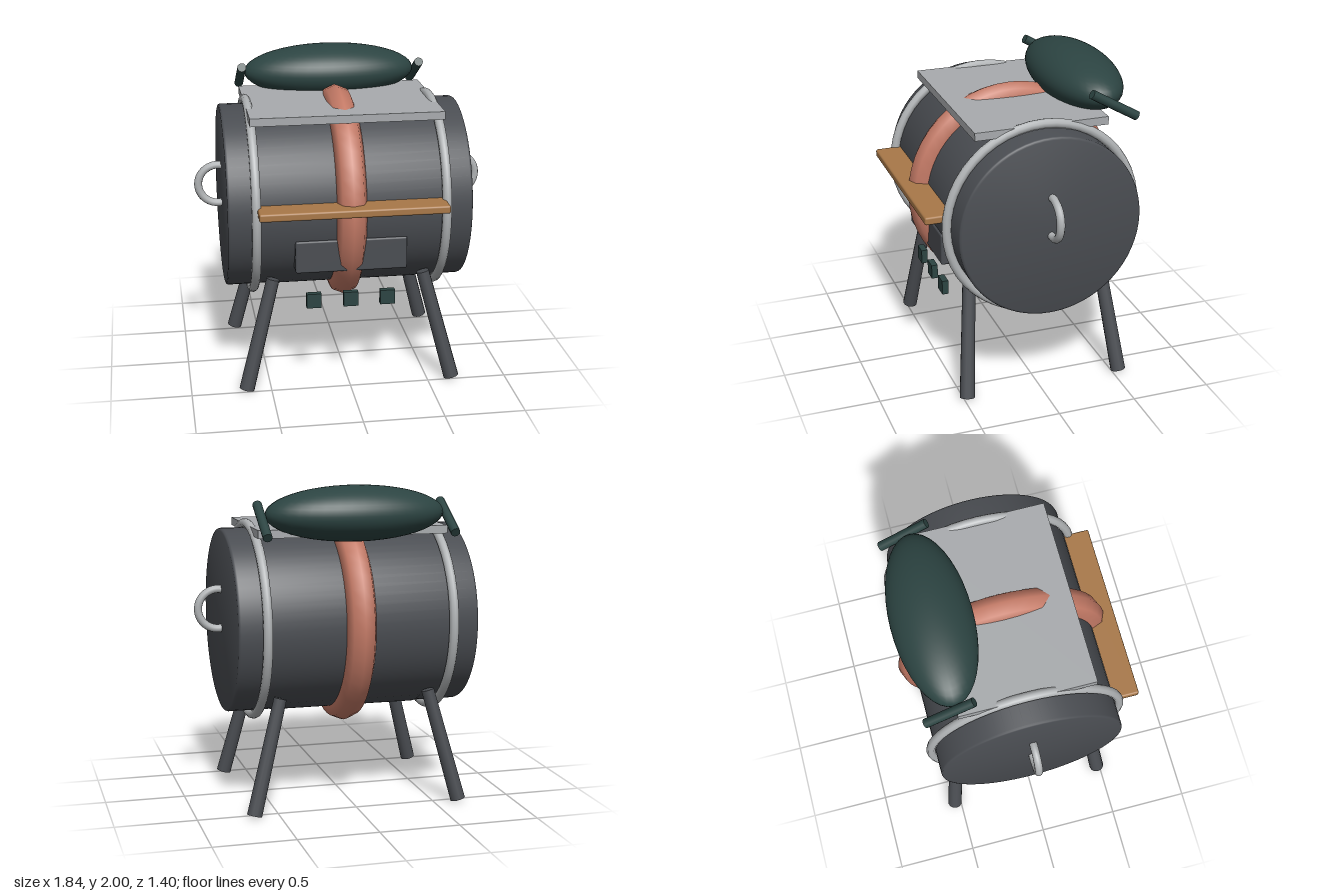
import * as THREE from 'three';
import { RoundedBoxGeometry } from 'three/addons/geometries/RoundedBoxGeometry.js';
import { toCreasedNormals } from 'three/addons/utils/BufferGeometryUtils.js';

const CY = 1.14, CZ = -0.03; // barrel axis

export function createModel() {
  const model = new THREE.Group();
  const mat = (color) => new THREE.MeshStandardMaterial({ color });
  const iron = mat(0x4a4d52), steel = mat(0xb0b3b5), plate = mat(0xa8abae);
  const copper = mat(0xc47a66), green = mat(0x2c4442), wood = mat(0xa87848);

  const add = (name, geometry, material, x = 0, y = 0, z = 0) => {
    const mesh = new THREE.Mesh(geometry, material);
    mesh.name = name;
    mesh.position.set(x, y, z);
    model.add(mesh);
    return mesh;
  };

  // round bar between two points, optionally tapered
  const bar = (name, a, b, rA, rB, material, sides = 12) => {
    const dir = b.clone().sub(a);
    const mid = a.clone().add(b).multiplyScalar(0.5);
    const mesh = add(name, new THREE.CylinderGeometry(rB, rA, dir.length(), sides), material, mid.x, mid.y, mid.z);
    mesh.quaternion.setFromUnitVectors(new THREE.Vector3(0, 1, 0), dir.normalize());
    return mesh;
  };
  const v = (x, y, z) => new THREE.Vector3(x, y, z);

  // barrel with softened rims, lying along x
  const profile = [[0, -0.75], [0.56, -0.75], [0.571, -0.746], [0.575, -0.735],
    [0.575, 0.735], [0.571, 0.746], [0.56, 0.75], [0, 0.75]].map(([r, h]) => new THREE.Vector2(r, h));
  const barrel = add('barrel', toCreasedNormals(new THREE.LatheGeometry(profile, 64), 0.9), iron, 0, CY, CZ);
  barrel.rotation.z = Math.PI / 2;

  // thin curved tray under the barrel
  const tray = new THREE.CylinderGeometry(0.579, 0.579, 0.92, 24, 1, true, -0.585, 1.17);
  tray.rotateZ(Math.PI / 2).rotateX(Math.PI / 2);
  const trayMat = iron.clone();
  trayMat.side = THREE.DoubleSide;
  add('bottomTray', tray, trayMat, 0, CY, CZ);

  // copper centre band and the two steel hoops
  const hoop = (name, x, R, r, material, sides) => {
    add(name, new THREE.TorusGeometry(R, r, sides, 48).rotateY(Math.PI / 2), material, x, CY, CZ);
  };
  hoop('centreBand', 0, 0.58, 0.092, copper, 8);

  for (const s of [-1, 1]) {
    const side = s > 0 ? 'left' : 'right';
    hoop(side + 'Hoop', s * 0.58, 0.602, 0.029, steel, 10);

    // curved handle on the barrel end
    const arc = Math.PI * 1.2;
    const handle = new THREE.TorusGeometry(0.125, 0.025, 10, 28, arc).rotateZ(-arc / 2);
    const grip = add(side + 'Handle', handle, steel, s * 0.77, 1.212, CZ);
    if (s < 0) grip.rotation.y = Math.PI;

    // sloping rod beside the top cushion
    bar(side + 'TopRod', v(s * 0.578, 1.715, -0.635), v(s * 0.578, 1.885, -0.34), 0.029, 0.029, green);

    // shelf bracket
    bar(side + 'ShelfBracket', v(s * 0.445, 1.193, 0.46), v(s * 0.445, 1.193, 0.62), 0.023, 0.023, steel);

    // splayed legs, front and back
    for (const f of [1, -1]) {
      bar(side + (f > 0 ? 'FrontLeg' : 'BackLeg'),
        v(s * 0.655, 0.014, CZ + f * 0.51), v(s * 0.472, 0.715, CZ + f * 0.432),
        0.048, 0.041, iron);
    }
  }

  // flat plate on top
  add('topPlate', new THREE.BoxGeometry(1.19, 0.05, 0.84), plate, 0, 1.715, -0.025);

  // oval cushion
  const cushion = new THREE.SphereGeometry(1, 40, 24).scale(0.555, 0.17, 0.247);
  add('topCushion', cushion, green, 0, 1.83, -0.452);

  // front shelf and front panel
  add('frontShelf', new RoundedBoxGeometry(1.15, 0.05, 0.2, 2, 0.012), wood, 0, 1.214, 0.6);
  add('frontPanel', new RoundedBoxGeometry(0.69, 0.205, 0.115, 2, 0.012), iron, 0, 0.895, 0.48);

  // row of small blocks
  for (const x of [-0.23, 0, 0.23]) {
    add('smallBlock', new THREE.BoxGeometry(0.092, 0.092, 0.04), green, x, 0.597, 0.495);
  }

  return model;
}
